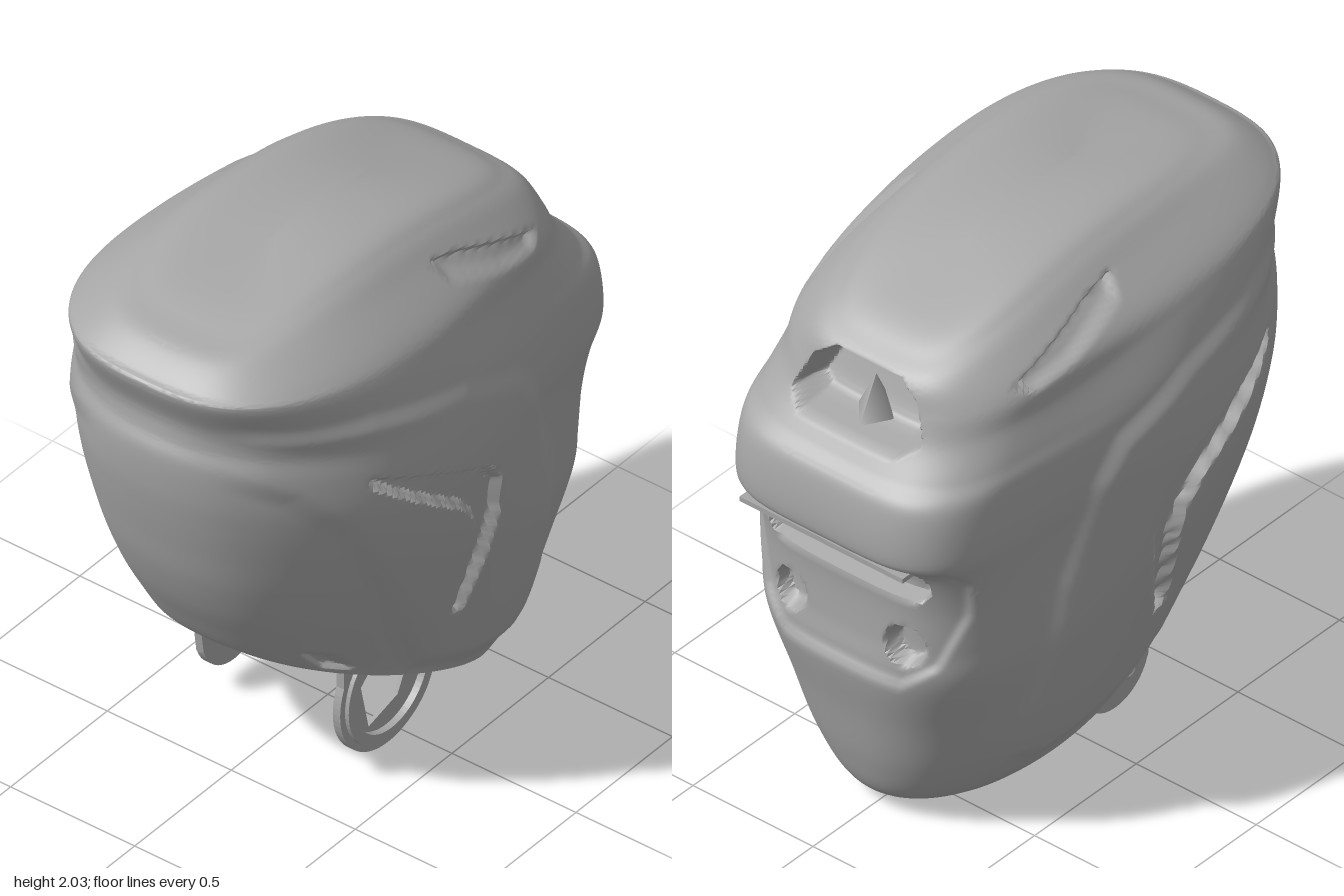
import * as THREE from 'three';
import { toCreasedNormals } from 'three/addons/utils/BufferGeometryUtils.js';

const { lerp, smoothstep } = THREE.MathUtils;

// Tilted rings, rim to crown: back x,y, face x,y, half width, bow, squareness of the face end
const RINGS = [
  [-0.62, 0.58, 0.62, 0.0, 0.465, 0, 2.0],
  [-0.66, 0.62, 0.72, 0.05, 0.48, 0, 2.0],
  [-0.72, 0.72, 0.78, 0.2, 0.515, 0, 2.3],
  [-0.79, 0.85, 0.83, 0.42, 0.56, 0, 2.7],
  [-0.85, 1.0, 0.88, 0.64, 0.605, 0, 3.2],
  [-0.89, 1.15, 0.87, 0.78, 0.635, 0, 3.6],
  [-0.92, 1.28, 0.87, 0.95, 0.655, 0, 4.0],
  [-0.94, 1.4, 0.9, 1.1, 0.665, 0, 4.4],
  [-0.945, 1.53, 0.965, 1.2, 0.66, 0, 4.5],
  [-0.92, 1.6, 0.945, 1.39, 0.645, 0, 4.5],
  [-0.92, 1.68, 0.88, 1.47, 0.63, 0.01, 4],
  [-0.97, 1.81, 0.81, 1.56, 0.585, 0.03, 3.6],
  [-0.94, 1.84, 0.77, 1.65, 0.54, 0.05, 3.4],
  [-0.85, 1.9, 0.74, 1.73, 0.42, 0.08, 3.5],
  [-0.75, 1.925, 0.68, 1.78, 0.34, 0.105, 3.5],
  [-0.6, 1.955, 0.55, 1.85, 0.24, 0.09, 3.5],
  [-0.3, 1.985, 0.2, 1.96, 0, 0.025, 3],
];
const LAST = RINGS.length - 1;

// Outlines on the sides (x, y)
const PANEL = [[-1.1, 1.56], [-0.95, 1.54], [-0.75, 1.42], [-0.6, 1.25], [-0.45, 0.98], [-0.3, 0.68], [-0.15, 0.42], [0.1, 0.3],
  [0.4, 0.2], [0.48, 0.25], [0.5, 0.45], [0.42, 0.95], [0.3, 1.3], [0.2, 1.43], [-0.1, 1.56], [-0.5, 1.65], [-1.1, 1.7]];
const BOOMERANG = [[-0.53, 1.44], [-0.3, 1.35], [-0.03, 1.22], [0.05, 1.12], [0.065, 1.0], [0.03, 0.8], [-0.03, 0.6],
  [-0.07, 0.63], [-0.05, 0.8], [-0.04, 0.95], [-0.07, 1.05], [-0.15, 1.14], [-0.4, 1.32], [-0.52, 1.41]];
const TOP_VENT = [[0.02, 1.89], [0.15, 1.86], [0.35, 1.79], [0.51, 1.73], [0.46, 1.71], [0.3, 1.75], [0.05, 1.84]];
const LOW_VENT = [[-0.54, 0.62], [-0.46, 0.59], [-0.38, 0.5], [-0.46, 0.53]];
// Outlines on the face (|z|, y)
const POCKET = [[-1, 1.53], [0.19, 1.53], [0.25, 1.57], [0.2, 1.68], [0.13, 1.73], [-1, 1.73]];
const BIB = [[-1, 1.17], [0.43, 1.17], [0.46, 1.1], [0.44, 0.95], [0.36, 0.74], [0.24, 0.65], [-1, 0.65]];

// Signed distance to a polygon, positive inside
function inside(poly, x, y) {
  let d = Infinity, sign = -1;
  poly.forEach(([ax, ay], i) => {
    const [bx, by] = poly[(i + 1) % poly.length];
    const ex = bx - ax, ey = by - ay, wx = x - ax, wy = y - ay;
    const k = Math.min(1, Math.max(0, (wx * ex + wy * ey) / (ex * ex + ey * ey)));
    d = Math.min(d, Math.hypot(wx - k * ex, wy - k * ey));
    if ((ay > y) !== (by > y) && x < ax + (ex * (y - ay)) / ey) sign = -sign;
  });
  return sign * d;
}
const step = (d, soft = 0.012) => smoothstep(d, -soft, soft);

// Smooth interpolation of the ring table
function ringAt(t) {
  const i = Math.min(LAST - 1, Math.floor(t)), f = t - i;
  const [a, b, c, d] = [-1, 0, 1, 2].map((k) => RINGS[Math.min(LAST, Math.max(0, i + k))]);
  return b.map((v, j) => v + 0.5 * f * (c[j] - a[j] + f * (2 * a[j] - 5 * v + 4 * c[j] - d[j] + f * (3 * (v - c[j]) + d[j] - a[j]))));
}

// Point on a squarish oval ring that narrows towards the face at mid height
function ringPoint(t, ring, angle, inset) {
  const [xl, yl, xr, yr, w, bow, faceEnd] = ring;
  const c = Math.cos(angle), s = Math.sin(angle);
  const backEnd = 2.2 + smoothstep(t, 8, 14);
  const taper = 0.17 * smoothstep(t, 1, 7) * (1 - smoothstep(t, 9.5, 13.5));
  const n = lerp(backEnd, faceEnd, smoothstep(c, -0.8, 0.8));
  const r = (Math.abs(c) ** n + Math.abs(s) ** n) ** (-1 / n);
  const u = c * r;
  const half = Math.max(0, (xr - xl) / 2 - inset);
  const z = s * r * Math.max(0, w - inset) * (1 - taper * smoothstep(u, -0.1, 0.7));
  return [(xl + xr) / 2 + u * half, lerp(yl, yr, (u + 1) / 2) + bow * (1 - u * u) - inset * 0.3, z];
}

// Raised side panels, vents, face slot, holes and hood pocket
function addDetails([x, y, z]) {
  const az = Math.abs(z);
  let dx = 0, dz = 0;
  if (az > 0.2) {
    dz += 0.022 * step(inside(PANEL, x, y), 0.04) - 0.008;
    dz -= 0.045 * step(inside(BOOMERANG, x, y));
    dz -= 0.035 * step(inside(TOP_VENT, x, y));
    dz -= 0.04 * step(inside(LOW_VENT, x, y));
    dz *= Math.sign(z) * smoothstep(az, 0.2, 0.38);
  }
  if (x > 0.55) {
    dx -= 0.13 * step(inside(POCKET, az, y), 0.02);
    dx -= 0.025 * step(inside(BIB, az, y), 0.02);
    dx -= 0.07 * step(0.07 - Math.hypot(Math.max(0, az - 0.27), y - 1.06));
    dx -= 0.06 * step(0.068 - Math.hypot(az - 0.24, y - 0.79));
  }
  return [x + dx, y, z + dz];
}

// One skin: down the inner wall, round the rim and up the outside
function shellGeometry() {
  const COLS = 320, position = [], index = [], rows = [];
  for (let t = LAST; t >= 0; t--) rows.push([t, 0.08 + 0.08 * smoothstep(t, 0, 4)]);
  rows.push([0, 0.04]);
  for (let k = 0; k <= LAST * 10; k++) rows.push([k / 10, 0]);
  rows.forEach(([t, inset], r) => {
    const ring = ringAt(t);
    for (let c = 0; c < COLS; c++) {
      const p = ringPoint(t, ring, (c / COLS) * Math.PI * 2, inset);
      position.push(...(inset ? p : addDetails(p)));
      if (r === rows.length - 1) continue;
      const a = r * COLS + c, b = r * COLS + ((c + 1) % COLS);
      index.push(a, a + COLS, b, b, a + COLS, b + COLS);
    }
  });
  const g = new THREE.BufferGeometry();
  g.setAttribute('position', new THREE.Float32BufferAttribute(position, 3));
  g.setIndex(index);
  return toCreasedNormals(g, 0.75);
}

export function createModel() {
  const group = new THREE.Group();
  const grey = new THREE.MeshStandardMaterial({ color: 0xa6a6a6 });
  grey.name = 'grey';
  const add = (name, geometry, x = 0, y = 0, z = 0) => {
    const m = new THREE.Mesh(geometry, grey);
    m.name = name;
    m.position.set(x, y, z);
    group.add(m);
    return m;
  };
  const extrude = (shape, depth) => new THREE.ExtrudeGeometry(shape, { depth, bevelEnabled: false, curveSegments: 32 });
  const disc = (radius, hole) => {
    const s = new THREE.Shape().absarc(0, 0, radius, 0, Math.PI * 2);
    s.holes.push(hole);
    return s;
  };
  const circle = (r) => new THREE.Path().absarc(0, 0, r, 0, Math.PI * 2, true);

  add('shell', shellGeometry());
  // Lip over the face slot and the small peg in the hood pocket
  add('slotLip', new THREE.BoxGeometry(0.07, 0.018, 0.68), 0.925, 1.17, 0);
  add('pocketPeg', new THREE.ConeGeometry(0.08, 0.16, 4), 0.7, 1.61, -0.01);

  // Round hanger on the front side
  add('hangerRing', extrude(disc(0.25, circle(0.2)), 0.03), -0.11, 0.26, 0.3);
  add('hangerStep', extrude(disc(0.225, circle(0.185)), 0.055), -0.11, 0.26, 0.29);
  const opening = new THREE.Path([[0.0, 0.15], [0.13, 0.04], [0.06, -0.1], [-0.09, -0.14], [-0.13, 0.04]]
    .map(([x, y]) => new THREE.Vector2(x, y)));
  add('hangerWeb', extrude(disc(0.19, opening), 0.015), -0.11, 0.26, 0.305);
  for (const x of [-0.32, 0.1]) add('hangerArm', new THREE.BoxGeometry(0.04, 0.26, 0.03), x, 0.4, 0.315);

  // Bolted tab on the back side
  const tab = new THREE.Shape();
  tab.moveTo(-0.22, 0.4);
  tab.lineTo(-0.16, -0.05);
  tab.absarc(0, 0, 0.165, Math.PI * 1.1, Math.PI * 1.9, false);
  tab.lineTo(0.22, 0.4);
  add('boltTab', extrude(tab, 0.03), -0.11, 0.215, -0.32);
  for (const [x, y] of [[-0.17, 0.17], [-0.04, 0.15]]) {
    add('bolt', new THREE.TorusGeometry(0.028, 0.01, 8, 20), x, y, -0.322);
    add('boltHead', new THREE.CylinderGeometry(0.018, 0.018, 0.016, 6), x, y, -0.324).rotation.x = Math.PI / 2;
  }
  return group;
}
